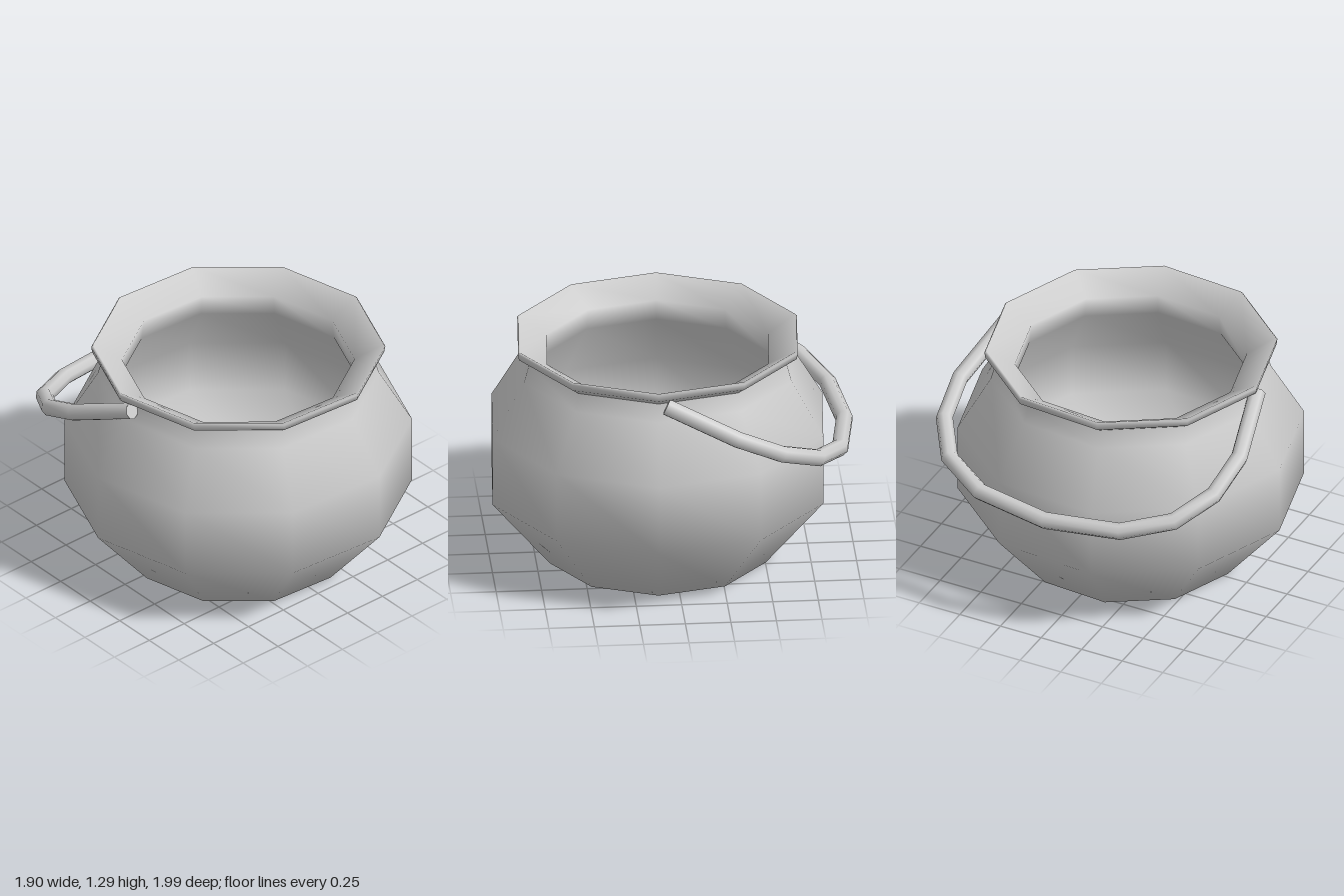
import * as THREE from 'three';

const SIDES = 10;
const TURN = THREE.MathUtils.degToRad(14);

export function createModel() {
  const group = new THREE.Group();
  const grey = new THREE.MeshStandardMaterial({ color: 0xcccccc, side: THREE.DoubleSide });

  // Ten-sided turned part, its axis set slightly forward of the origin
  const turned = (name, profile) => {
    const points = profile.map(([r, y]) => new THREE.Vector2(r, y));
    const mesh = new THREE.Mesh(new THREE.LatheGeometry(points, SIDES, TURN), grey);
    mesh.name = name;
    mesh.position.z = 0.074;
    group.add(mesh);
  };

  // Outer belly, from the centre of the base up to the neck
  turned('potBody', [[0, 0], [0.622, 0], [0.952, 0.4], [0.952, 0.8], [0.77, 1.11], [0.742, 1.21]]);
  // Flared lip sloping in to the throat, running smoothly into the hollow inside
  turned('rimAndInside', [
    [0.742, 1.21], [0.8, 1.25], [0.805, 1.285], [0.795, 1.295],
    [0.637, 1.2], [0.65, 1.08], [0.84, 0.76], [0.84, 0.45], [0.565, 0.1], [0, 0.1],
  ]);

  // Swinging handle, hanging down behind the pot, its ends set into the neck
  const half = [[0.772, 0.085], [0.86, -0.3], [0.83, -0.545], [0.69, -0.755], [0.43, -0.895]];
  const at = (x, z) => new THREE.Vector3(x, 1.168 + 0.446 * z, z);
  const path = new THREE.CatmullRomCurve3([
    ...half.map(([x, z]) => at(-x, z)),
    at(0, -0.952),
    ...half.map(([x, z]) => at(x, z)).reverse(),
  ]);
  // Place the tube rings exactly on the path points
  path.getPointAt = path.getPoint;
  path.getTangentAt = path.getTangent;

  const handle = new THREE.Group();
  handle.name = 'handle';
  const bar = new THREE.Mesh(new THREE.TubeGeometry(path, 10, 0.048, 8, false), grey);
  bar.name = 'handleBar';
  handle.add(bar);
  for (const t of [0, 1]) {
    const cap = new THREE.Mesh(new THREE.CircleGeometry(0.048, 8), grey);
    cap.name = 'handleEnd';
    const out = path.getTangent(t).multiplyScalar(t ? 1 : -1);
    cap.position.copy(path.getPoint(t));
    cap.quaternion.setFromUnitVectors(new THREE.Vector3(0, 0, 1), out);
    handle.add(cap);
  }
  group.add(handle);
  return group;
}
